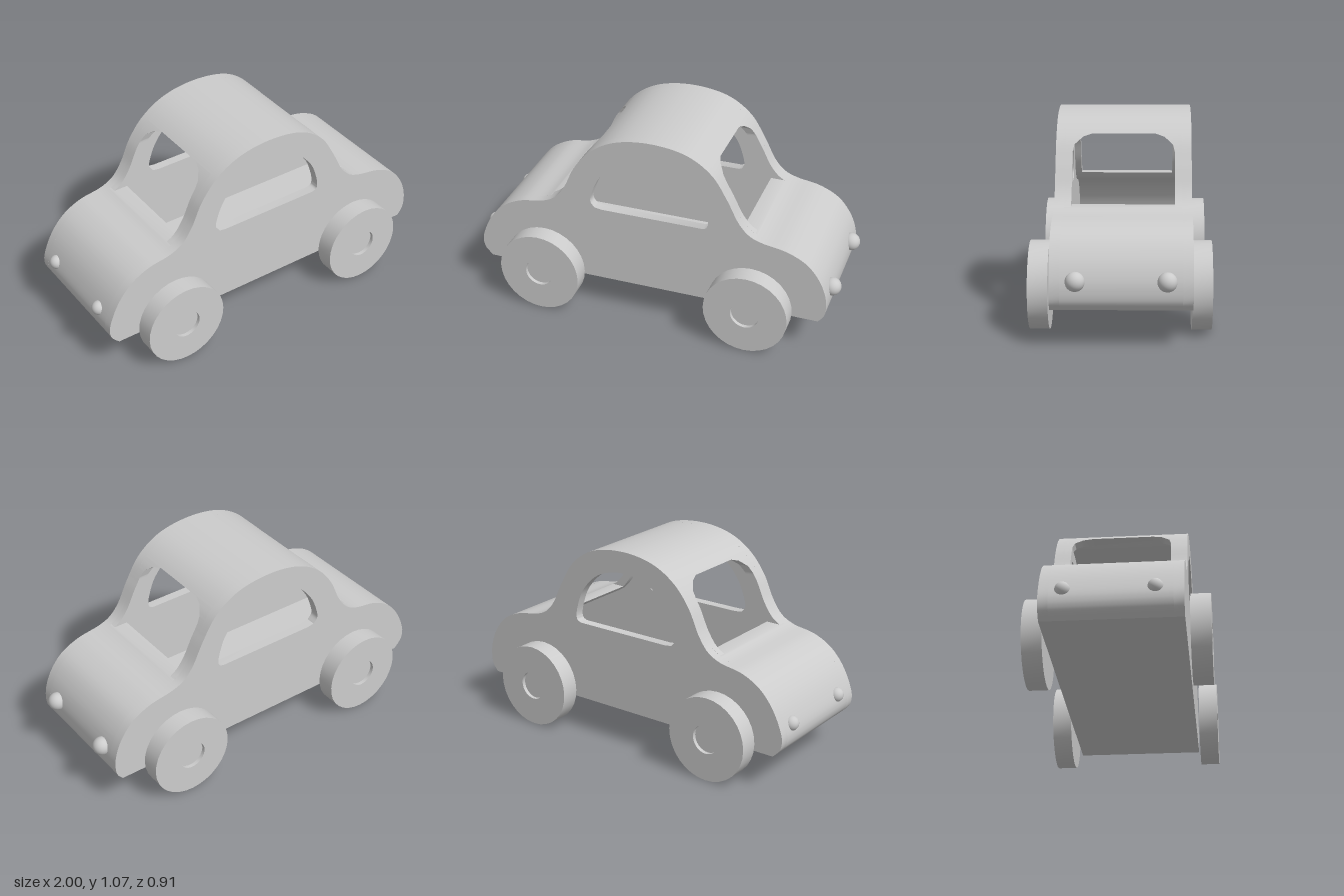
import * as THREE from 'three';
import { toCreasedNormals } from 'three/addons/utils/BufferGeometryUtils.js';

const material = new THREE.MeshStandardMaterial({ color: 0xcccccc, side: THREE.DoubleSide });
const BACK = -0.355, FRONT = 0.335, PLATE = 0.05, WALL = 0.045;
const SILL = 0.622, HEADER = 0.96;

// Body silhouette, rear bumper over the roof to front bumper
const silhouette = new THREE.CatmullRomCurve3([
  [-0.93, 0.19], [-0.97, 0.235], [-0.98, 0.29], [-0.95, 0.385], [-0.9, 0.47], [-0.835, 0.535],
  [-0.74, 0.583], [-0.605, 0.61], [-0.535, 0.647], [-0.48, 0.72], [-0.417, 0.85], [-0.33, 0.957],
  [-0.2, 1.035], [-0.01, 1.067], [0.2, 1.035], [0.33, 0.947], [0.41, 0.824], [0.48, 0.69],
  [0.535, 0.632], [0.6, 0.605], [0.735, 0.578], [0.84, 0.525], [0.91, 0.44], [0.945, 0.353],
  [0.953, 0.29], [0.945, 0.23], [0.915, 0.19],
].map(([x, y]) => new THREE.Vector3(x, y, 0)));

const SAMPLES = 160;
const outer = [], inner = [];
for (let i = 0; i <= SAMPLES; i++) {
  const p = silhouette.getPointAt(i / SAMPLES), t = silhouette.getTangentAt(i / SAMPLES);
  outer.push(new THREE.Vector2(p.x, p.y));
  inner.push(new THREE.Vector2(p.x + t.y * WALL, p.y - t.x * WALL));
}

// Fractional index where a line crosses height y, on the rear (-1) or front (+1) half
function crossing(line, y, side) {
  let i = SAMPLES / 2;
  while (line[i + side].y > y) i += side;
  return i + side * (line[i].y - y) / (line[i].y - line[i + side].y);
}

function pointAt(line, index) {
  const i = Math.min(Math.floor(index), SAMPLES - 1);
  return line[i].clone().lerp(line[i + 1], index - i);
}

// Sections of the shell between two pairs of indices, [outer, inner]
function sections(from, to, z0, z1, steps) {
  const list = [];
  for (let i = 0; i <= steps; i++) {
    const at = (k) => from[k] + (to[k] - from[k]) * i / steps;
    list.push({ p: pointAt(outer, at(0)), q: pointAt(inner, at(1)), z0, z1 });
  }
  return list;
}

// Closed strip with a four-cornered cross-section
function strip(list) {
  const pos = [], rings = list.map(({ p, q, z0, z1 }) =>
    [[p.x, p.y, z0], [p.x, p.y, z1], [q.x, q.y, z1], [q.x, q.y, z0]]);
  const quad = (a, b, c, d) => pos.push(...a, ...b, ...c, ...a, ...c, ...d);
  for (let i = 0; i < rings.length - 1; i++) {
    for (let k = 0; k < 4; k++) {
      const n = (k + 1) % 4;
      quad(rings[i][k], rings[i][n], rings[i + 1][n], rings[i + 1][k]);
    }
  }
  const [a, b, c, d] = rings[0];
  quad(d, c, b, a);
  quad(...rings[rings.length - 1]);
  const geometry = new THREE.BufferGeometry();
  geometry.setAttribute('position', new THREE.Float32BufferAttribute(pos, 3));
  return toCreasedNormals(geometry, 0.6);
}

// Half width of the windscreen opening at height y
const openingSteps = [[SILL, 0.26], [0.873, 0.26], [0.91, 0.25], [0.945, 0.208], [HEADER, 0.16]];
function openingHalfWidth(y) {
  const i = Math.max(1, openingSteps.findIndex(([h]) => h >= y - 1e-6));
  const [y0, w0] = openingSteps[i - 1], [y1, w1] = openingSteps[i];
  return w0 + (w1 - w0) * (y - y0) / (y1 - y0);
}

export function createModel() {
  const model = new THREE.Group();
  const add = (name, geometry, x = 0, y = 0, z = 0) => {
    const mesh = new THREE.Mesh(geometry, material);
    mesh.name = name;
    mesh.position.set(x, y, z);
    model.add(mesh);
    return mesh;
  };

  // Side panels with an arched window
  const panel = new THREE.Shape(outer);
  const arch = new THREE.CatmullRomCurve3([
    [-0.31, 0.628], [-0.333, 0.66], [-0.322, 0.72], [-0.28, 0.81], [-0.18, 0.912], [-0.01, 0.953],
    [0.16, 0.912], [0.265, 0.81], [0.303, 0.72], [0.315, 0.66], [0.309, 0.634], [0.285, SILL],
  ].map(([x, y]) => new THREE.Vector3(x, y, 0))).getPoints(60);
  panel.holes.push(new THREE.Path([
    ...arch.map((p) => new THREE.Vector2(p.x, p.y)), new THREE.Vector2(-0.27, SILL),
  ]));
  const panelGeometry = toCreasedNormals(
    new THREE.ExtrudeGeometry(panel, { depth: PLATE, bevelEnabled: false }), 0.6);
  add('rightSidePanel', panelGeometry, 0, 0, BACK);
  add('leftSidePanel', panelGeometry, 0, 0, FRONT - PLATE);

  // Curved shell between the panels
  const z0 = BACK + PLATE, z1 = FRONT - PLATE, mid = (z0 + z1) / 2;
  const cut = (y, side) => [crossing(outer, y, side), crossing(inner, y, side)];
  add('rearDeck', strip(sections([0, 0], cut(SILL, -1), z0, z1, 60)));
  add('roof', strip(sections(cut(HEADER, -1), cut(HEADER, 1), z0, z1, 50)));
  add('bonnet', strip(sections(cut(SILL, 1), [SAMPLES, SAMPLES], z0, z1, 60)));

  // Pillars either side of the windscreen and rear window openings
  const heights = [0.873, 0.91, 0.945];
  for (let i = 0; i <= 24; i++) heights.push(SILL + (HEADER - SILL) * i / 24);
  heights.sort((a, b) => a - b);
  for (const side of [-1, 1]) {
    const ordered = side < 0 ? heights : [...heights].reverse();
    for (const edge of [-1, 1]) {
      const list = ordered.map((y) => {
        const [o, n] = cut(y, side), w = openingHalfWidth(y);
        return {
          p: pointAt(outer, o), q: pointAt(inner, n),
          z0: edge < 0 ? z0 : mid + w, z1: edge < 0 ? mid - w : z1,
        };
      });
      add(side < 0 ? 'rearPillar' : 'frontPillar', strip(list));
    }
  }

  // Floor
  add('floor', new THREE.BoxGeometry(1.845, WALL, z1 - z0), -0.0075, 0.19 + WALL / 2, mid);

  // Disc wheels with a shallow hub recess
  const wheelProfile = [[0, 0], [0.225, 0], [0.225, 0.1], [0.077, 0.1], [0.077, 0.08], [0, 0.08]]
    .map(([r, h]) => new THREE.Vector2(r, h));
  const wheelGeometry = toCreasedNormals(new THREE.LatheGeometry(wheelProfile, 32), 0.6);
  for (const [name, x] of [['rearWheel', -0.597], ['frontWheel', 0.555]]) {
    for (const side of [-1, 1]) {
      add(name, wheelGeometry, x, 0.225, side * 0.355).rotation.x = side * Math.PI / 2;
    }
  }

  // Round lamps
  for (const side of [-1, 1]) {
    add('headlight', new THREE.SphereGeometry(0.048, 24, 16), 0.952, 0.338, mid + side * 0.22);
    add('tailLight', new THREE.SphereGeometry(0.038, 24, 16), -0.962, 0.338, mid - 0.01 + side * 0.22);
  }
  return model;
}
